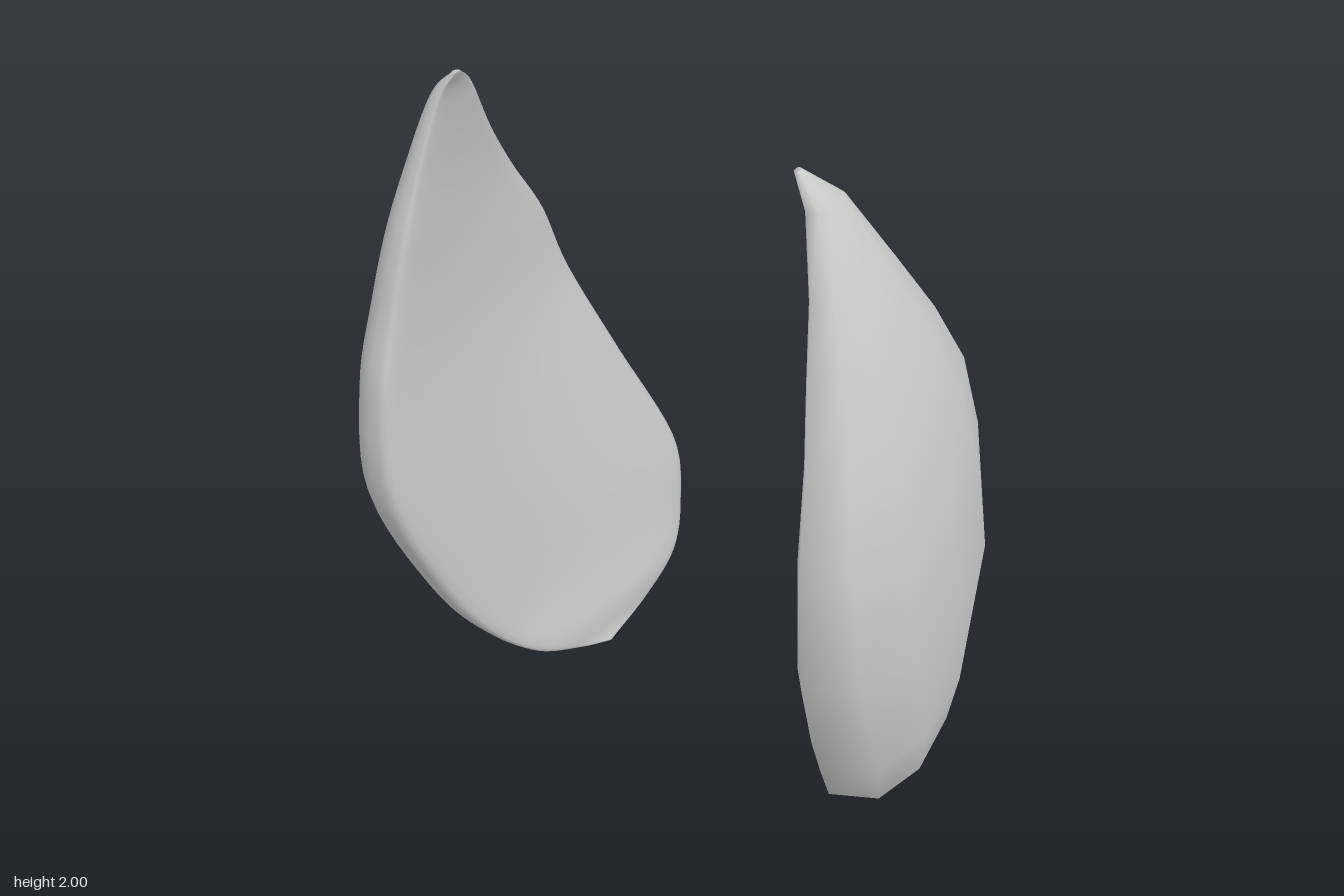
import * as THREE from 'three';

// Stations from tip to foot: [y, frontZ, backZ, frontEdgeX, backEdgeX, outerX]
const STATIONS = [
  [2.0, 0.32, 0.30, 0.40, 0.40, 0.41],
  [1.93, 0.34, 0.22, 0.44, 0.44, 0.48],
  [1.76, 0.385, 0.11, 0.48, 0.49, 0.56],
  [1.6, 0.43, 0.0, 0.505, 0.525, 0.625],
  [1.42, 0.47, -0.12, 0.53, 0.54, 0.675],
  [1.2, 0.515, -0.21, 0.55, 0.54, 0.715],
  [0.88, 0.51, -0.35, 0.565, 0.495, 0.74],
  [0.5, 0.37, -0.51, 0.55, 0.425, 0.70],
  [0.28, 0.25, -0.51, 0.52, 0.40, 0.655],
  [0.13, 0.12, -0.45, 0.47, 0.385, 0.58],
  [0.04, -0.03, -0.32, 0.425, 0.39, 0.48],
  [0.0, -0.13, -0.15, 0.39, 0.39, 0.40],
];

// Resample the stations along a smooth curve
function smoothStations(count) {
  const spline = (k) => new THREE.CatmullRomCurve3(
    STATIONS.map((s) => new THREE.Vector3(s[k], s[k + 1], s[k + 2])), false, 'catmullrom', 0.5);
  const a = spline(0), b = spline(3);
  return Array.from({ length: count + 1 }, (_, i) =>
    [...a.getPoint(i / count).toArray(), ...b.getPoint(i / count).toArray()]);
}

// Loft D-shaped sections: domed outside, nearly flat inside
function shellGeometry(stations, segments, side) {
  const positions = [], index = [];
  for (const [y, zf, zb, xf, xb, xo] of stations) {
    const dome = xo - (xf + xb) / 2;
    for (let s = 0; s < segments; s++) {
      const t = (s / segments) * Math.PI * 2;
      const c = Math.cos(t), sn = Math.sin(t);
      const base = THREE.MathUtils.lerp(xb, xf, (1 + c) / 2);
      const offset = sn >= 0 ? dome * Math.pow(sn, 0.85) : -0.25 * dome * Math.pow(-sn, 0.5);
      positions.push(side * (base + offset), y, (zf + zb) / 2 + c * (zf - zb) / 2);
    }
  }
  const tri = (a, b, c) => (side > 0 ? index.push(a, b, c) : index.push(a, c, b));
  for (let r = 0; r < stations.length - 1; r++) {
    for (let s = 0; s < segments; s++) {
      const n = (s + 1) % segments;
      const a = r * segments + s, b = r * segments + n;
      const c = a + segments, d = b + segments;
      tri(a, c, b);
      tri(b, c, d);
    }
  }
  // Close the tip and the foot
  const last = (stations.length - 1) * segments;
  for (let s = 1; s < segments - 1; s++) {
    tri(0, s, s + 1);
    tri(last, last + s + 1, last + s);
  }
  const geometry = new THREE.BufferGeometry();
  geometry.setAttribute('position', new THREE.Float32BufferAttribute(positions, 3));
  geometry.setIndex(index);
  geometry.computeVertexNormals();
  return geometry;
}

export function createModel() {
  const group = new THREE.Group();
  const material = new THREE.MeshStandardMaterial({ color: 0xcccccc });

  // Finely rounded shell on the model's right
  const fine = smoothStations(66).map(([y, ...rest]) => [0.03 + y * 0.982, ...rest]);
  const rightShell = new THREE.Mesh(shellGeometry(fine, 48, -1), material);
  rightShell.name = 'rightShell';

  // Coarse shell on the left, its lower back lip curling further inwards
  const coarse = STATIONS.map((s, i) => {
    const row = [...s];
    if (i >= 7 && i <= 9) row[4] -= 0.05;
    return row;
  });
  const leftShell = new THREE.Mesh(shellGeometry(coarse, 12, 1), material);
  leftShell.name = 'leftShell';

  group.add(rightShell, leftShell);
  return group;
}
